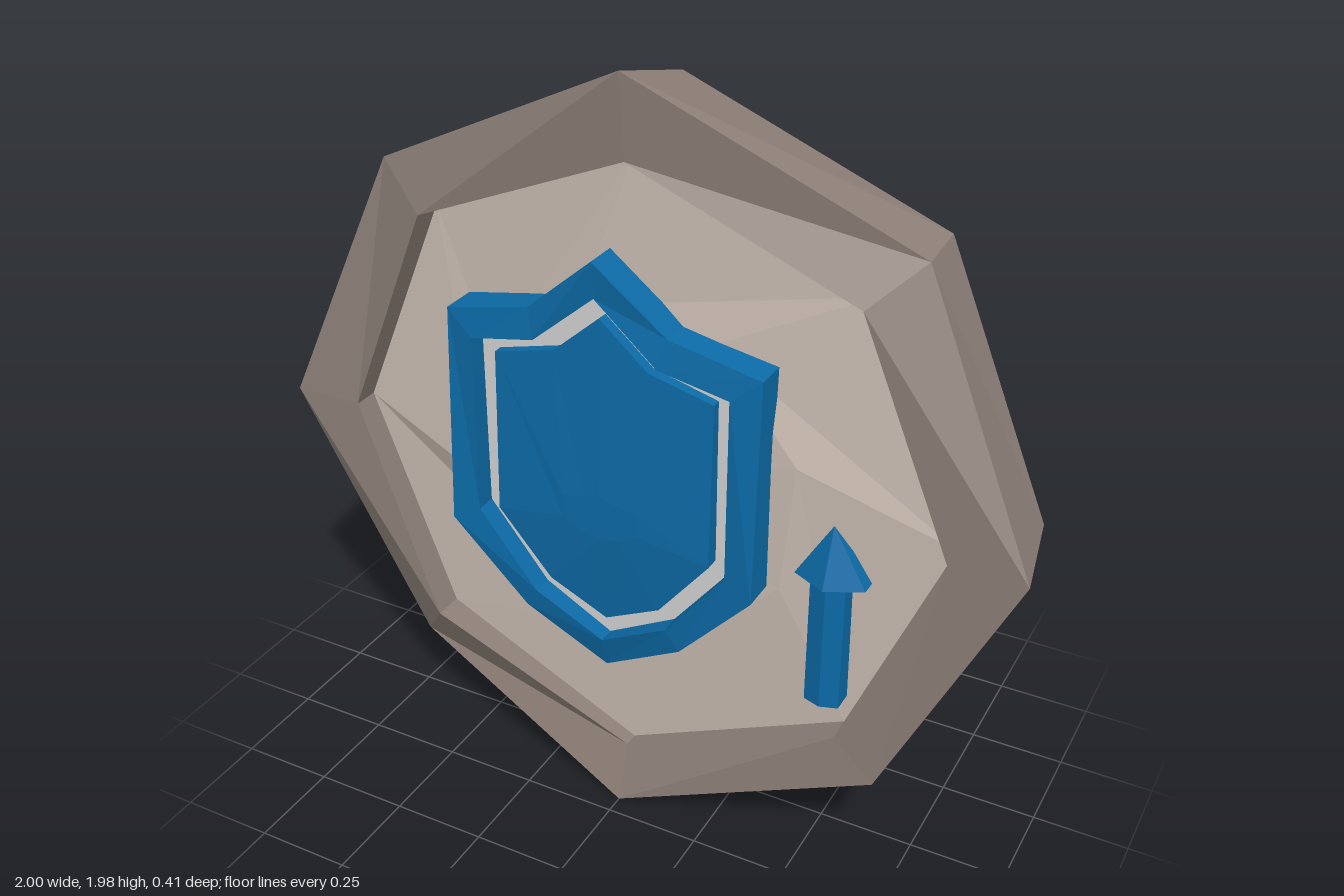
import * as THREE from 'three';

const CY = 0.96; // height of the medallion's centre

// Joins closed loops of equal length into a faceted skin
function skin(loops) {
  const p = [];
  for (let k = 0; k + 1 < loops.length; k++) {
    const a = loops[k], b = loops[k + 1], n = a.length;
    for (let i = 0; i < n; i++) {
      const j = (i + 1) % n;
      p.push(...a[i], ...a[j], ...b[j], ...a[i], ...b[j], ...b[i]);
    }
  }
  const g = new THREE.BufferGeometry();
  g.setAttribute('position', new THREE.Float32BufferAttribute(p, 3));
  g.computeVertexNormals();
  return g;
}

// Octagon of radius r, counterclockwise from +x; z values repeat around it
function oct(r, zs, twist = 0) {
  return Array.from({ length: 8 }, (_, i) => {
    const a = i * Math.PI / 4 + twist;
    return [r * Math.cos(a), CY + r * Math.sin(a), zs[i % zs.length]];
  });
}

const point = (x, y, z, n = 8) => Array.from({ length: n }, () => [x, y, z]);

export function createModel() {
  const model = new THREE.Group();
  const mat = (name, color) => {
    const m = new THREE.MeshStandardMaterial({ color, flatShading: true, side: THREE.DoubleSide });
    m.name = name;
    return m;
  };
  const darkStone = mat('dark stone', 0x8c7f77);
  const lightStone = mat('light stone', 0xc8bbb1);
  const blue = mat('blue', 0x0c6aa6);
  const pale = mat('pale grey', 0xd2d2d2);
  const add = (name, geometry, material, parent = model) => {
    const m = new THREE.Mesh(geometry, material);
    m.name = name;
    parent.add(m);
    return m;
  };

  // Rough-hewn outer rim, from the back recess round to the front recess
  const backOuter = [[0.95, 0.96, -0.14], [0.67, 1.63, -0.14], [0, 1.9, -0.14], [-0.68, 1.62, -0.15],
    [-0.95, 0.96, -0.15], [-0.65, 0.29, -0.17], [0, 0.01, -0.14], [0.66, 0.29, -0.2]];
  const frontOuter = [[1, 0.96, 0.13], [0.68, 1.63, 0.03], [0, 1.98, 0.16], [-0.72, 1.63, 0.05],
    [-1, 0.96, 0.13], [-0.67, 0.26, 0.08], [0, 0, 0.2], [0.68, 0.28, 0.14]];
  const frontZ = [0.13, 0.13, 0.14, 0.13, 0.13, 0.16, 0.15, 0.14];
  const backZ = [-0.14, -0.2, -0.18, -0.21, -0.14, -0.2, -0.16, -0.2];
  add('rim', skin([oct(0.81, [-0.08]), oct(0.81, backZ), backOuter, frontOuter,
    oct(0.81, frontZ), oct(0.81, [0.04])]), darkStone);

  // Uneven front face
  add('frontFace', skin([oct(0.81, [0.06, 0.05, 0.1, 0.05, 0.06, 0.08, 0.11, 0.07]),
    oct(0.45, [0.11, 0.1, 0.12, 0.09, 0.12, 0.1, 0.12, 0.11], 0.3),
    point(-0.05, CY, 0.11)]), lightStone);

  // Back: light recessed band, raised dark ring and a chipped twisted hollow
  add('backBand', skin([oct(0.58, [-0.1, -0.07, -0.09, -0.08]),
    oct(0.81, [-0.08, -0.1, -0.09, -0.11])]), lightStone);
  add('backRing', skin([oct(0.32, [-0.06]), oct(0.34, [-0.1, -0.12, -0.11], 0.15),
    oct(0.57, [-0.14, -0.15, -0.13, -0.15]), oct(0.58, [-0.07])]), darkStone);
  add('backHollow', skin([point(0.02, CY, -0.07), oct(0.1, [-0.05, -0.11], -0.5),
    oct(0.2, [-0.1, -0.06, -0.08], -0.25), oct(0.33, [-0.06, -0.08])]), darkStone);

  // Shield outlines: right half from top to bottom, mirrored about its own axis
  const SX = -0.055;
  const outline = (half) => {
    const right = half.map(([x, y, z]) => [SX + x, y, z]);
    const left = half.slice(1, -1).map(([x, y, z]) => [SX - x, y, z]);
    return [...right, ...left.reverse()].reverse();
  };
  const atZ = (loop, z) => loop.map(([x, y]) => [x, y, z]);
  const outer = outline([[0, 1.545, 0.2], [0.185, 1.385, 0.18], [0.42, 1.33, 0.17],
    [0.42, 0.75, 0.2], [0.22, 0.53, 0.18], [0, 0.4, 0.155]]);
  const inner = outline([[0, 1.45, 0.19], [0.165, 1.31, 0.195], [0.345, 1.27, 0.185],
    [0.345, 0.79, 0.19], [0.185, 0.59, 0.19], [0, 0.49, 0.18]]);
  const panel = outline([[0, 1.39, 0.165], [0.125, 1.28, 0.165], [0.295, 1.235, 0.16],
    [0.295, 0.8, 0.175], [0.155, 0.625, 0.165], [0, 0.545, 0.155]]);
  const shield = new THREE.Group();
  shield.name = 'shield';
  model.add(shield);
  add('shieldFrame', skin([atZ(outer, 0.06), outer, inner, atZ(inner, 0.1)]), blue, shield);
  add('shieldBacking', skin([atZ(inner, 0.135), point(SX, CY, 0.135, 10)]), pale, shield);
  add('shieldPanel', skin([atZ(panel, 0.1), panel,
    panel.map(([x, y]) => [SX + (x - SX) * 0.35, 0.84 + (y - 0.84) * 0.15, 0.182]),
    point(SX, 0.84, 0.182, 10)]), blue, shield);

  // Upward arrow with a central ridge
  const AX = 0.53;
  const arrow = new THREE.Group();
  arrow.name = 'arrow';
  model.add(arrow);
  const shaftSection = (y) => [[AX - 0.045, y, 0.06], [AX - 0.045, y, 0.13], [AX, y, 0.145],
    [AX + 0.045, y, 0.13], [AX + 0.045, y, 0.06]];
  add('arrowShaft', skin([point(AX, 0.47, 0.1, 5), shaftSection(0.47).reverse(),
    shaftSection(0.83).reverse()]), blue, arrow);
  const headBase = [[AX + 0.09, 0.82, 0.06], [AX + 0.09, 0.82, 0.12], [AX, 0.82, 0.165],
    [AX - 0.09, 0.82, 0.12], [AX - 0.09, 0.82, 0.06]];
  add('arrowHead', skin([point(AX, 0.82, 0.09, 5), headBase, point(AX, 0.97, 0.11, 5)]), blue, arrow);

  return model;
}
